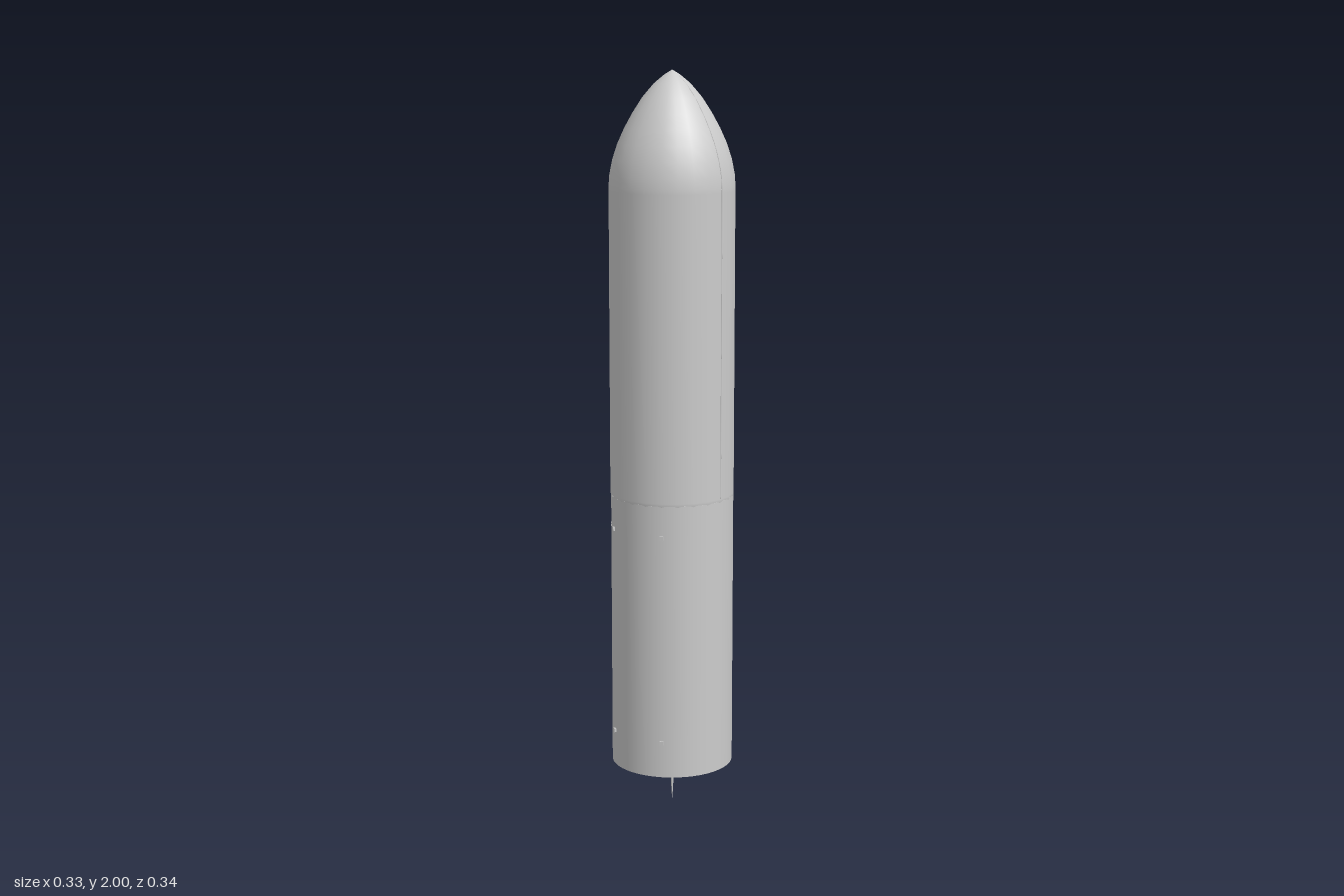
import * as THREE from 'three';

const R = 0.165; // radius of the stage body
const grey = new THREE.MeshStandardMaterial({ color: 0xcccccc, side: THREE.DoubleSide });

function add(parent, name, geometry) {
  const mesh = new THREE.Mesh(geometry, grey);
  mesh.name = name;
  parent.add(mesh);
  return mesh;
}

function lathe(points, segments, start = 0, sweep = Math.PI * 2) {
  return new THREE.LatheGeometry(points.map(([r, y]) => new THREE.Vector2(r, y)), segments, start, sweep);
}

// Box standing on the hull at angle a (0 = front, +90 degrees = +x)
function onHull(parent, name, a, y, w, h, d) {
  const mesh = add(parent, name, new THREE.BoxGeometry(w, h, d));
  mesh.position.set(R * Math.sin(a), y, R * Math.cos(a));
  mesh.rotation.y = a;
  return mesh;
}

export function createModel() {
  const model = new THREE.Group();
  model.name = 'rocketStage';

  // Lower stage: tube open at the bottom
  const stage = new THREE.Group();
  stage.name = 'lowerStage';
  model.add(stage);
  add(stage, 'stageWall', new THREE.CylinderGeometry(R, R, 0.75, 48, 1, true)).position.y = 0.5;
  add(stage, 'stageInnerWall', new THREE.CylinderGeometry(R - 0.003, R - 0.003, 0.07, 48, 1, true)).position.y = 0.16;
  const rim = add(stage, 'bottomRim', new THREE.RingGeometry(R - 0.003, R, 48));
  rim.rotation.x = Math.PI / 2;
  rim.position.y = 0.125;
  const bulkhead = add(stage, 'bulkhead', new THREE.CircleGeometry(R - 0.003, 48));
  bulkhead.rotation.x = Math.PI / 2;
  bulkhead.position.y = 0.195;
  const deck = add(stage, 'topDeck', new THREE.CircleGeometry(R, 48));
  deck.rotation.x = -Math.PI / 2;
  deck.position.y = 0.875;

  // Engine: mount, flange and long tapering spike
  const engine = new THREE.Group();
  engine.name = 'engine';
  model.add(engine);
  add(engine, 'engineMount', lathe([[0.055, 0.195], [0.052, 0.186], [0.03, 0.182], [0.027, 0.17], [0.017, 0.162]], 24));
  add(engine, 'engineSpike', lathe([[0.017, 0.162], [0.013, 0.14], [0.01, 0.115], [0.006, 0.09], [0.0035, 0.055], [0.002, 0.025], [0, 0]], 16));
  for (let i = 0; i < 6; i++) {
    const a = i * Math.PI / 3;
    const pod = add(engine, 'mountPod', new THREE.CylinderGeometry(0.007, 0.007, 0.02, 10));
    pod.position.set(0.05 * Math.sin(a), 0.184, 0.05 * Math.cos(a));
  }

  // Fairing: two half shells meeting on the x = 0 plane
  const profile = [[R, 0.872], [0.167, 0.882], [0.167, 1.69], [0.167, 1.7], [0.165, 1.73], [0.157, 1.77],
    [0.144, 1.81], [0.126, 1.85], [0.104, 1.89], [0.078, 1.93], [0.048, 1.965], [0.02, 1.988], [0, 2]];
  for (const [name, start] of [['leftFairingHalf', 0], ['rightFairingHalf', Math.PI]]) {
    add(model, name, lathe(profile, 12, start, Math.PI));
  }

  // Slim separation seams, front and back
  const seamPath = profile.slice(2);
  for (const side of [1, -1]) {
    const curve = new THREE.CatmullRomCurve3([[0.167, 0.885], ...seamPath].map(([r, y]) => new THREE.Vector3(0, y, side * r)));
    add(model, 'fairingSeam', new THREE.TubeGeometry(curve, 40, 0.0015, 5)).position.y = -0.0015;
  }

  // Small fittings in two rings around the stage
  for (const y of [0.79, 0.222]) {
    for (const a of [60, 120, 240, 300]) {
      onHull(stage, 'hullFitting', THREE.MathUtils.degToRad(a), y, 0.01, 0.01, 0.01);
    }
  }

  // Row of tiny fasteners across the back
  for (let i = -5; i <= 5; i++) {
    onHull(stage, 'fastener', Math.PI + i * 0.16, 0.79, 0.004, 0.004, 0.003);
  }

  // Cable duct and service box
  onHull(stage, 'cableDuct', THREE.MathUtils.degToRad(135), 0.46, 0.012, 0.66, 0.008);
  onHull(stage, 'serviceBox', THREE.MathUtils.degToRad(156), 0.537, 0.016, 0.026, 0.016);

  return model;
}
